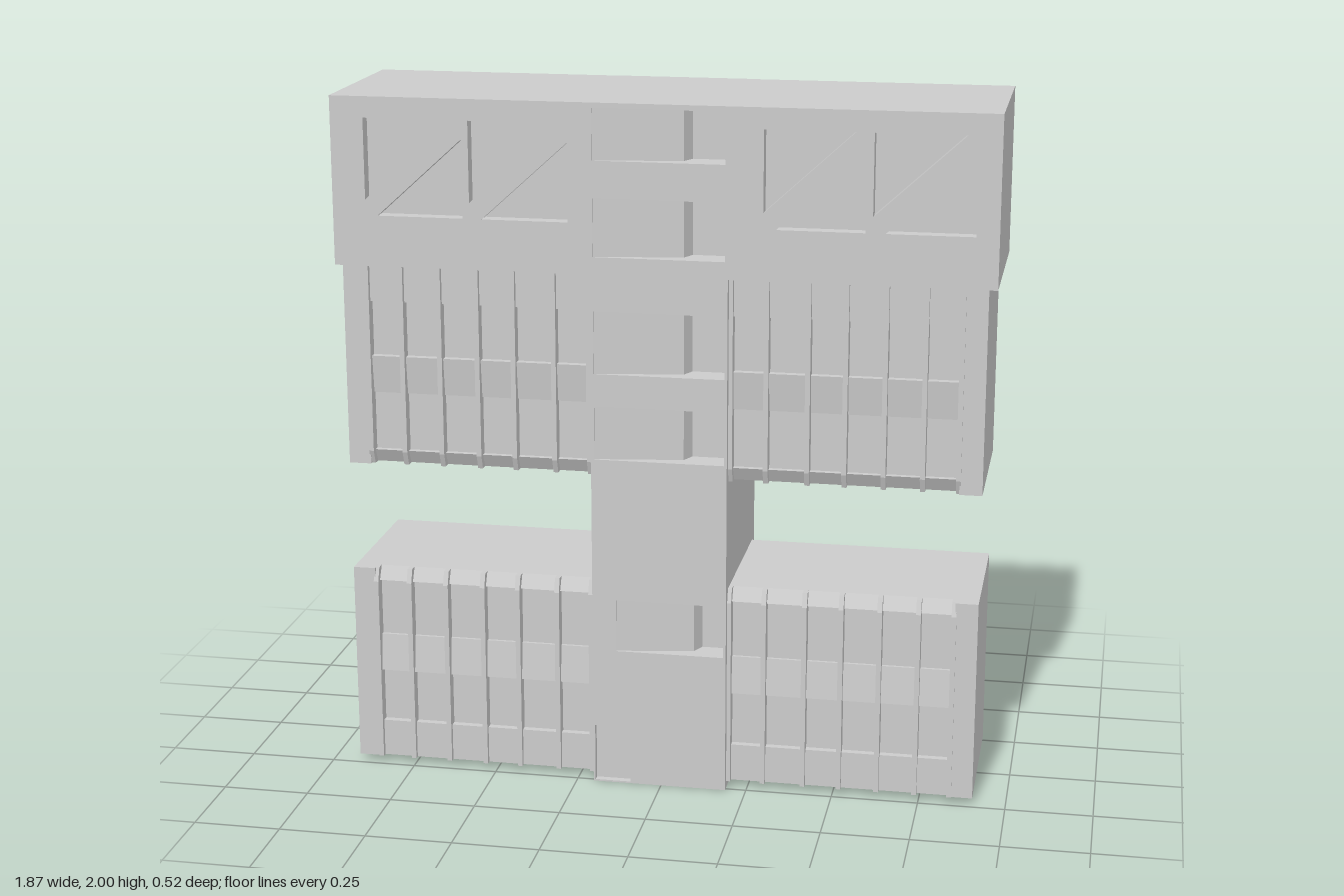
import * as THREE from 'three';

const mat = new THREE.MeshStandardMaterial({ color: 0xcccccc, flatShading: true, side: THREE.DoubleSide });

function add(parent, name, geometry) {
  const m = new THREE.Mesh(geometry, mat);
  m.name = name;
  parent.add(m);
  return m;
}

// Box from two opposite corners, in any order
function box(parent, name, xa, xb, ya, yb, za, zb) {
  const g = new THREE.BoxGeometry(Math.abs(xb - xa), Math.abs(yb - ya), Math.abs(zb - za));
  g.translate((xa + xb) / 2, (ya + yb) / 2, (za + zb) / 2);
  return add(parent, name, g);
}

const toShape = pts => new THREE.Shape(pts.map(p => new THREE.Vector2(...p)));
const rect = (x0, x1, y0, y1) => [[x0, y0], [x1, y0], [x1, y1], [x0, y1]];

// Upright plate facing +z with holes through it
function plate(parent, name, outline, holes, z0, z1) {
  const s = toShape(outline);
  s.holes = holes.map(toShape);
  const g = new THREE.ExtrudeGeometry(s, { depth: z1 - z0, bevelEnabled: false });
  return add(parent, name, g.translate(0, 0, z0));
}

// (z, y) profile extruded along x
function profileX(parent, name, pts, xa, xb) {
  const g = new THREE.ExtrudeGeometry(toShape(pts), { depth: Math.abs(xb - xa), bevelEnabled: false });
  return add(parent, name, g.rotateY(-Math.PI / 2).translate(Math.max(xa, xb), 0, 0));
}

// (x, z) plan extruded upwards
function planY(parent, name, pts, y0, y1) {
  const g = new THREE.ExtrudeGeometry(toShape(pts.map(([x, z]) => [x, -z])), { depth: y1 - y0, bevelEnabled: false });
  return add(parent, name, g.rotateX(-Math.PI / 2).translate(0, y0, 0));
}

const H = 0.59, MID = -0.0075;
const TX0 = -0.2, TX1 = 0.19;

// Hollow window block, open underneath; the upper ones have an upside-down facade
function wing(side, y0, flipped) {
  const g = new THREE.Group();
  g.name = (flipped ? 'upper' : 'lower') + (side > 0 ? 'Left' : 'Right') + 'Wing';
  const X = u => MID + side * u;
  const Y = v => y0 + (flipped ? H - v : v);
  const top = y0 + H;
  box(g, 'backWall', X(0.19), X(0.9125), y0, top, -0.225, -0.205);
  box(g, 'outerWall', X(0.8925), X(0.9125), y0, top, -0.205, 0.235);
  box(g, 'roof', X(0.19), X(0.8925), top - 0.02, top, -0.205, 0.19);
  box(g, 'cornerPier', X(0.848), X(0.8925), y0, top, 0.17, 0.235);

  // Stepped facade: panels stand proud of the windows
  const facade = [[0.175, 0], [0.225, 0], [0.225, 0.11], [0.205, 0.11], [0.205, 0.27], [0.226, 0.27],
    [0.214, 0.38], [0.205, 0.38], [0.205, 0.55], [0.222, 0.55], [0.2, H], [0.175, H]];
  profileX(g, 'facadePanels', facade.map(([z, v]) => [z, Y(v)]), X(0.19), X(0.85));

  // Vertical fins with one tapered end
  const fin = [[0.17, 0], [0.24, 0], [0.24, 0.55], [0.225, H], [0.17, H]];
  for (const u of [0.202, 0.303, 0.42, 0.525, 0.635, 0.745, 0.845])
    profileX(g, 'fin', fin.map(([z, v]) => [z, Y(v)]), X(u - 0.007), X(u + 0.007));

  // Ribs crossing on the inside of the facade
  for (const u of [0.303, 0.42, 0.525, 0.635, 0.745])
    for (const v of [0.11, 0.27, 0.38]) {
      box(g, 'innerRib', X(u - 0.01), X(u + 0.01), Y(v - 0.045), Y(v + 0.045), 0.12, 0.175);
      box(g, 'innerLedge', X(u - 0.035), X(u + 0.035), Y(v - 0.01), Y(v + 0.01), 0.12, 0.175);
    }
  return g;
}

// Top block on one side, with triangular recesses in its front
function crownBlock(side) {
  const g = new THREE.Group();
  g.name = side > 0 ? 'leftCrown' : 'rightCrown';
  const [x0, x1] = side > 0 ? [TX1, 0.93] : [-0.935, TX0];
  const shift = side > 0 ? 1.127 : 0;
  box(g, 'crownBody', x0, x1, 1.52, 2, -0.262, 0.22);
  const triangles = [];
  for (const dx of [0, 0.3]) {
    const x = -0.84 + dx + shift;
    triangles.push([[x, 1.71], [x + 0.25, 1.94], [x, 1.94]]);
    triangles.push([[x + 0.035, 1.665], [x + 0.28, 1.665], [x + 0.28, 1.887]]);
  }
  plate(g, 'crownFront', rect(x0, x1, 1.52, 2), triangles, 0.22, 0.26);
  return g;
}

// Central tower: hollow, open underneath, with angled window bays
function tower() {
  const g = new THREE.Group();
  g.name = 'tower';
  box(g, 'backWall', TX0, TX1, 0, 2, -0.265, -0.245);
  for (const [a, b] of [[TX0, TX0 + 0.01], [TX1 - 0.01, TX1]])
    box(g, 'sideWall', a, b, 0, 2, -0.245, 0.17);
  box(g, 'roof', TX0 + 0.01, TX1 - 0.01, 1.99, 2, -0.245, 0.17);

  // Each bay: left edge, step position, bottom, top
  const bays = [[-0.19, 0.06, 1.84, 1.985], [-0.19, 0.06, 1.57, 1.735], [-0.19, 0.06, 1.235, 1.415],
    [-0.19, 0.06, 0.985, 1.14], [-0.13, 0.09, 0.41, 0.565]];
  const door = [[-0.195, 0.005], [-0.09, 0.005], [-0.09, 0.165], [-0.1, 0.175], [-0.195, 0.175]];
  const holes = bays.map(([x0, , y0, y1]) => rect(x0, 0.182, y0, y1));
  plate(g, 'frontWall', rect(TX0, TX1, 0, 2), [...holes, door], 0.17, 0.26);
  box(g, 'door', -0.195, -0.09, 0.005, 0.175, 0.18, 0.24);

  // Panel slanting inwards, then a step back to the window
  for (const [x0, step, y0, y1] of bays)
    planY(g, 'windowBay', [[x0, 0.16], [x0, 0.256], [step, 0.22], [step + 0.018, 0.18],
      [0.182, 0.18], [0.182, 0.16]], y0, y1);
  return g;
}

export function createModel() {
  const model = new THREE.Group();
  model.name = 'building';
  model.add(tower());
  for (const side of [-1, 1]) {
    model.add(wing(side, 0.02, false), wing(side, 0.93, true), crownBlock(side));
  }
  return model;
}
